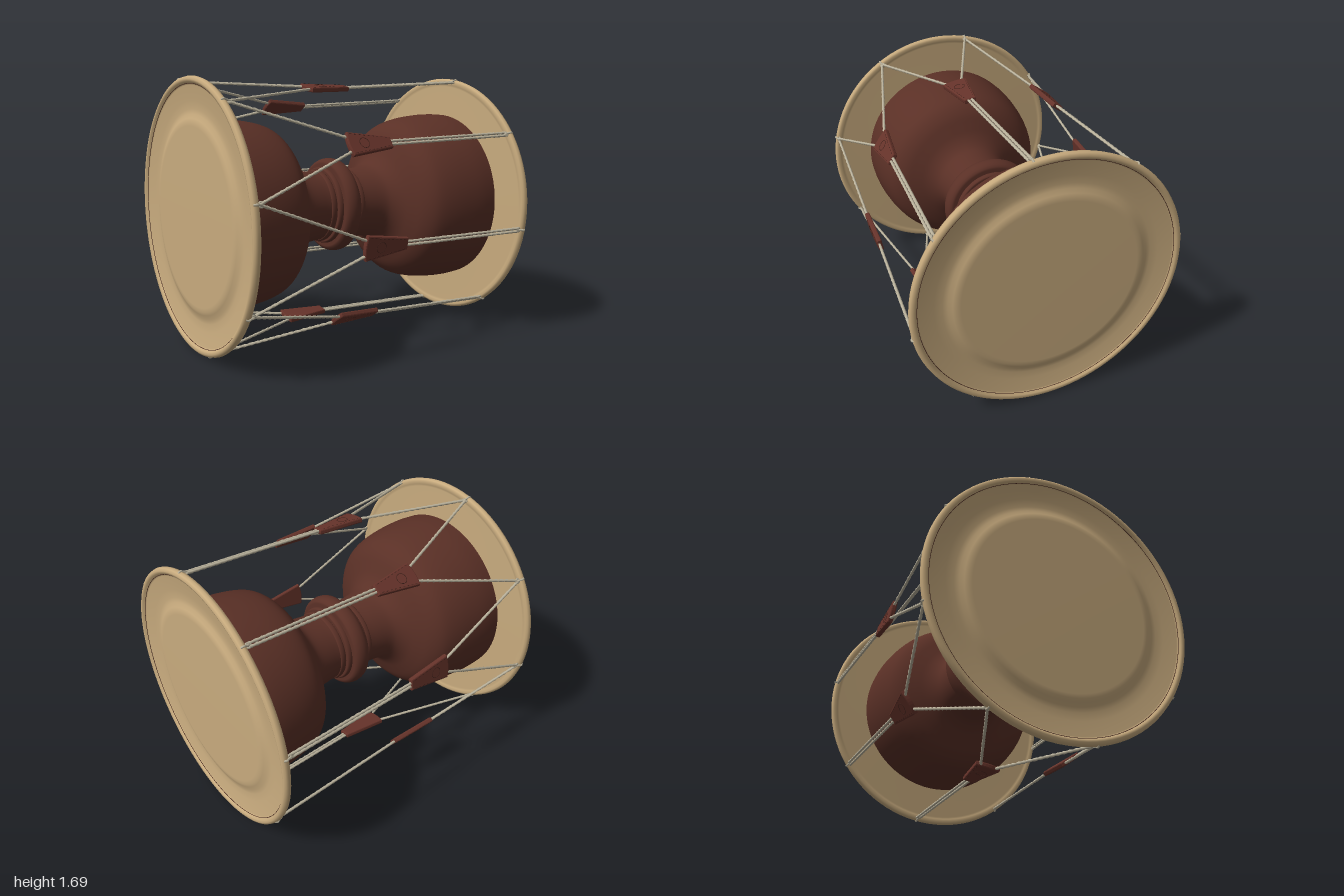
import * as THREE from 'three';

const mat = (name, color, side = THREE.FrontSide) => {
  const m = new THREE.MeshStandardMaterial({ color, side });
  m.name = name;
  return m;
};
const wood = mat('darkWood', 0x5a3026);
const leather = mat('leather', 0x66332a);
const seam = mat('darkSeam', 0x40211a);
const skin = mat('paleSkin', 0xc8ab7e);
const cord = mat('cord', 0xb9b19b);

const CY = 0.845; // height of the drum's axis
const rad = THREE.MathUtils.degToRad;
const V2 = (a) => a.map(([r, h]) => new THREE.Vector2(r, h));

// Point at distance r from the drum axis, angle counted from the front upwards
const at = (x, r, deg, shift = 0) => {
  const a = rad(deg);
  return new THREE.Vector3(x, CY + r * Math.sin(a) + shift * Math.cos(a), r * Math.cos(a) - shift * Math.sin(a));
};

function add(parent, name, geo, material) {
  const m = new THREE.Mesh(geo, material);
  m.name = name;
  parent.add(m);
  return m;
}

// Turned part lying along the x axis
function turned(parent, name, points, material, segments = 72) {
  const m = add(parent, name, new THREE.LatheGeometry(points, segments), material);
  m.rotation.z = -Math.PI / 2;
  m.position.y = CY;
  return m;
}

// Two-strand twisted rope between two points
function rope(parent, name, a, b, radius = 0.0085) {
  const len = a.distanceTo(b);
  const geo = new THREE.CylinderGeometry(radius, radius, len, 8, Math.ceil(len * 75), false);
  const p = geo.attributes.position;
  for (let i = 0; i < p.count; i++) {
    const x = p.getX(i), y = p.getY(i), z = p.getZ(i);
    const k = 1 + 0.2 * Math.cos(2 * Math.atan2(z, x) - y * 150);
    p.setXYZ(i, x * k, y, z * k);
  }
  geo.computeVertexNormals();
  const m = add(parent, name, geo, cord);
  m.position.addVectors(a, b).multiplyScalar(0.5);
  m.quaternion.setFromUnitVectors(new THREE.Vector3(0, 1, 0), b.clone().sub(a).normalize());
}

// Wire hook reaching from the rope end over the inner side of the rim
function hook(parent, side, deg) {
  const pts = [at(side * 0.925, 0.822, deg), at(side * 0.94, 0.835, deg),
    at(side * 0.958, 0.84, deg), at(side * 0.972, 0.847, deg), at(side * 0.988, 0.838, deg)];
  const bend = new THREE.CatmullRomCurve3(pts);
  add(parent, 'hookWire', new THREE.TubeGeometry(bend, 12, 0.007, 6), cord);
  const eye = add(parent, 'hookEye', new THREE.TorusGeometry(0.014, 0.006, 6, 14), cord);
  eye.position.copy(at(side * 0.94, 0.828, deg));
  eye.rotation.x = -rad(deg);
}

// Tapered leather sleeve with a rounded wide end
function sliderGeometry() {
  const s = new THREE.Shape();
  s.moveTo(0.018, -0.07);
  s.lineTo(0.3, -0.03);
  s.lineTo(0.3, 0.03);
  s.lineTo(0.018, 0.07);
  s.quadraticCurveTo(-0.002, 0, 0.018, -0.07);
  const geo = new THREE.ExtrudeGeometry(s, {
    depth: 0.016, bevelEnabled: true, bevelSize: 0.008, bevelThickness: 0.008, bevelSegments: 2, curveSegments: 8,
  });
  return geo.translate(0, 0, -0.008);
}

export function createModel() {
  const drum = new THREE.Group();
  drum.name = 'hourglassDrum';

  // Wooden bowls, mirrored about the waist
  const bowlHalf = [[0.228, 0.1], [0.232, 0.18], [0.247, 0.28], [0.275, 0.33], [0.325, 0.37], [0.39, 0.4],
    [0.46, 0.433], [0.515, 0.48], [0.548, 0.54], [0.572, 0.64], [0.586, 0.76], [0.59, 0.86], [0.584, 0.96]];
  const curve = new THREE.SplineCurve(V2([...bowlHalf.map(([r, h]) => [r, -h]).reverse(), ...bowlHalf]));
  turned(drum, 'body', curve.getPoints(90), wood);

  // Waist mouldings
  const ring = (name, x, r, half, round) => {
    const pts = [[0.2, x - half]];
    for (let i = 0; i <= 8; i++) {
      const a = -Math.PI / 2 + (Math.PI * i) / 8;
      pts.push([r - round + round * Math.cos(a), x + half * Math.sin(a)]);
    }
    pts.push([0.2, x + half]);
    turned(drum, name, V2(pts), wood);
  };
  ring('waistRing', 0, 0.312, 0.056, 0.035);
  for (const s of [-1, 1]) {
    ring('waistCollar', s * 0.065, 0.255, 0.022, 0.012);
    ring('waistBead', s * 0.11, 0.238, 0.02, 0.008);
  }

  // Skin heads with a raised centre and a rolled rim
  const head = [[0, 0.952], [0.5, 0.954], [0.79, 0.962], [0.805, 0.956], [0.825, 0.952], [0.839, 0.958],
    [0.845, 0.975], [0.84, 0.991], [0.825, 1.0], [0.809, 0.995], [0.8, 0.982], [0.79, 0.979], [0.75, 0.974],
    [0.7, 0.966], [0.65, 0.962], [0.62, 0.966], [0.595, 0.977], [0.575, 0.983], [0.55, 0.985], [0, 0.985]];
  for (const s of [-1, 1]) {
    const h = turned(drum, s < 0 ? 'rightHead' : 'leftHead', V2(head), skin, 96);
    if (s < 0) h.rotation.z = Math.PI / 2;
    // Fine seam where the skin meets the rim
    const line = add(drum, 'rimSeam', new THREE.TorusGeometry(0.8, 0.002, 4, 96), seam);
    line.rotation.y = Math.PI / 2;
    line.position.set(s * 0.983, CY, 0);
  }

  // Lacing: eight sliders, each joining two slanted cords to a straight pair
  const starts = [-0.295, -0.275, -0.25, -0.27, -0.29, -0.285, -0.255, -0.265];
  const sleeve = sliderGeometry();
  starts.forEach((x0, i) => {
    const deg = 35 + 45 * i;
    const lacing = new THREE.Group();
    lacing.name = 'lacing';
    drum.add(lacing);

    const slider = new THREE.Group();
    slider.name = 'slider';
    slider.position.copy(at(x0, 0.785, deg));
    slider.rotation.x = -rad(deg);
    lacing.add(slider);
    add(slider, 'sliderSleeve', sleeve, leather);
    const mark = add(slider, 'pressedRing', new THREE.TorusGeometry(0.033, 0.002, 4, 28), seam);
    mark.position.set(0.11, 0, 0.016);
    // Stitches along both tapered edges
    for (const s of [-1, 1]) {
      for (let k = 0; k < 9; k++) {
        const x = 0.035 + k * 0.03;
        const stitch = add(slider, 'stitch', new THREE.BoxGeometry(0.014, 0.003, 0.003), seam);
        stitch.position.set(x, s * (0.066 - (x - 0.018) * 0.142), 0.016);
        stitch.rotation.z = -s * 0.141;
      }
    }

    for (const s of [-1, 1]) {
      rope(lacing, 'slantedCord', at(-0.95, 0.83, deg + s * 22.5), at(x0 + 0.03, 0.787, deg, s * 0.04));
      rope(lacing, 'straightCord', at(x0 + 0.27, 0.787, deg, s * 0.011), at(0.94, 0.828, deg, s * 0.01));
    }
    hook(lacing, 1, deg);
    hook(lacing, -1, deg + 22.5);
  });

  return drum;
}
